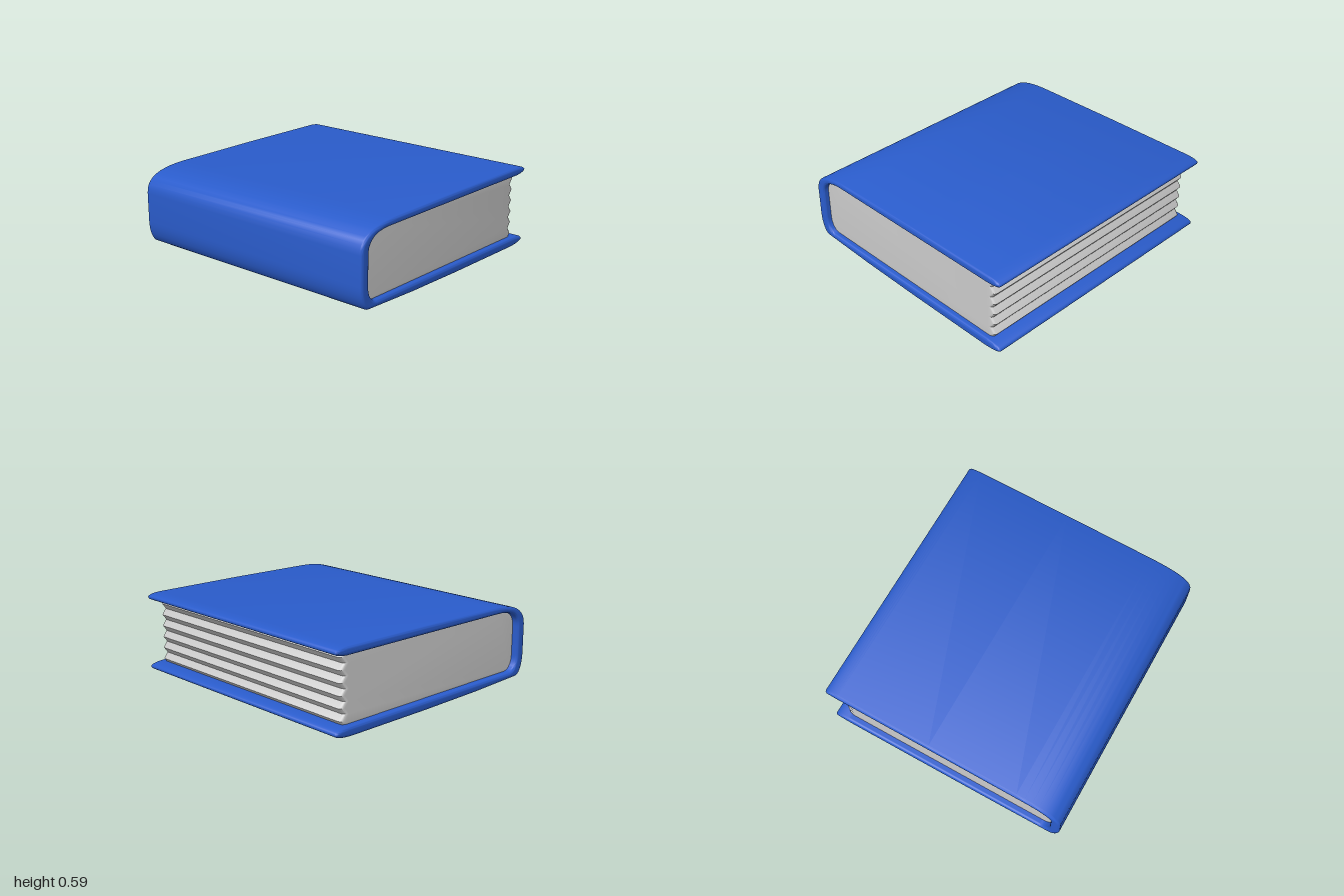
import * as THREE from 'three';
import { toCreasedNormals } from 'three/addons/utils/BufferGeometryUtils.js';

// Extrude an x-y profile between two z values, rounding both ends inward
function extrudeProfile(shape, z0, z1, bevel, crease, curveSegments) {
  const geometry = new THREE.ExtrudeGeometry(shape, {
    depth: z1 - z0 - 2 * bevel,
    steps: 1,
    bevelEnabled: true,
    bevelThickness: bevel,
    bevelSize: bevel,
    bevelOffset: -bevel,
    bevelSegments: 5,
    curveSegments,
  });
  geometry.translate(0, 0, z0 + bevel);
  return toCreasedNormals(geometry, crease);
}

// Wraparound cover: outer outline, then back along the inner one
function coverShape() {
  const s = new THREE.Shape();
  s.moveTo(0.82, 0.59);
  s.lineTo(0.1, 0.588);
  s.lineTo(-0.58, 0.58);
  s.bezierCurveTo(-0.8, 0.575, -0.925, 0.53, -0.925, 0.41);
  s.lineTo(-0.925, 0.2);
  s.bezierCurveTo(-0.925, 0.11, -0.89, 0.036, -0.85, 0.034);
  s.lineTo(-0.4, 0.015);
  s.lineTo(0.1, 0.005);
  s.lineTo(0.78, 0);
  s.bezierCurveTo(0.86, 0.003, 0.922, 0.012, 0.922, 0.036);
  s.bezierCurveTo(0.922, 0.058, 0.87, 0.066, 0.8, 0.068);
  s.lineTo(-0.77, 0.077);
  s.bezierCurveTo(-0.82, 0.08, -0.85, 0.13, -0.85, 0.19);
  s.lineTo(-0.85, 0.4);
  s.bezierCurveTo(-0.85, 0.49, -0.78, 0.528, -0.64, 0.53);
  s.lineTo(0.82, 0.53);
  s.bezierCurveTo(0.88, 0.533, 0.922, 0.542, 0.922, 0.562);
  s.bezierCurveTo(0.922, 0.58, 0.88, 0.588, 0.82, 0.59);
  return s;
}

// Page block: tucked slightly into the cover, zigzag along the fore edge
function pagesShape() {
  const s = new THREE.Shape();
  s.moveTo(-0.79, 0.05);
  s.lineTo(0.79, 0.045);
  const teeth = 6;
  const pitch = 0.083;
  for (let i = 0; i < teeth; i++) {
    const y = 0.05 + i * pitch;
    s.lineTo(0.806, y + 0.001);
    s.lineTo(0.837, y + pitch / 2);
  }
  s.lineTo(0.806, 0.555);
  s.lineTo(-0.66, 0.555);
  s.bezierCurveTo(-0.8, 0.55, -0.875, 0.5, -0.875, 0.4);
  s.lineTo(-0.875, 0.18);
  s.bezierCurveTo(-0.875, 0.11, -0.85, 0.052, -0.79, 0.05);
  return s;
}

export function createModel() {
  const group = new THREE.Group();
  group.name = 'book';

  const cover = new THREE.Mesh(
    extrudeProfile(coverShape(), -1, 1, 0.02, 0.8, 10),
    new THREE.MeshStandardMaterial({ color: 0x2a5ccc })
  );
  cover.name = 'cover';

  const pages = new THREE.Mesh(
    extrudeProfile(pagesShape(), -0.95, 0.96, 0.03, 0.6, 10),
    new THREE.MeshStandardMaterial({ color: 0xcccccc })
  );
  pages.name = 'pages';

  group.add(cover, pages);
  return group;
}
